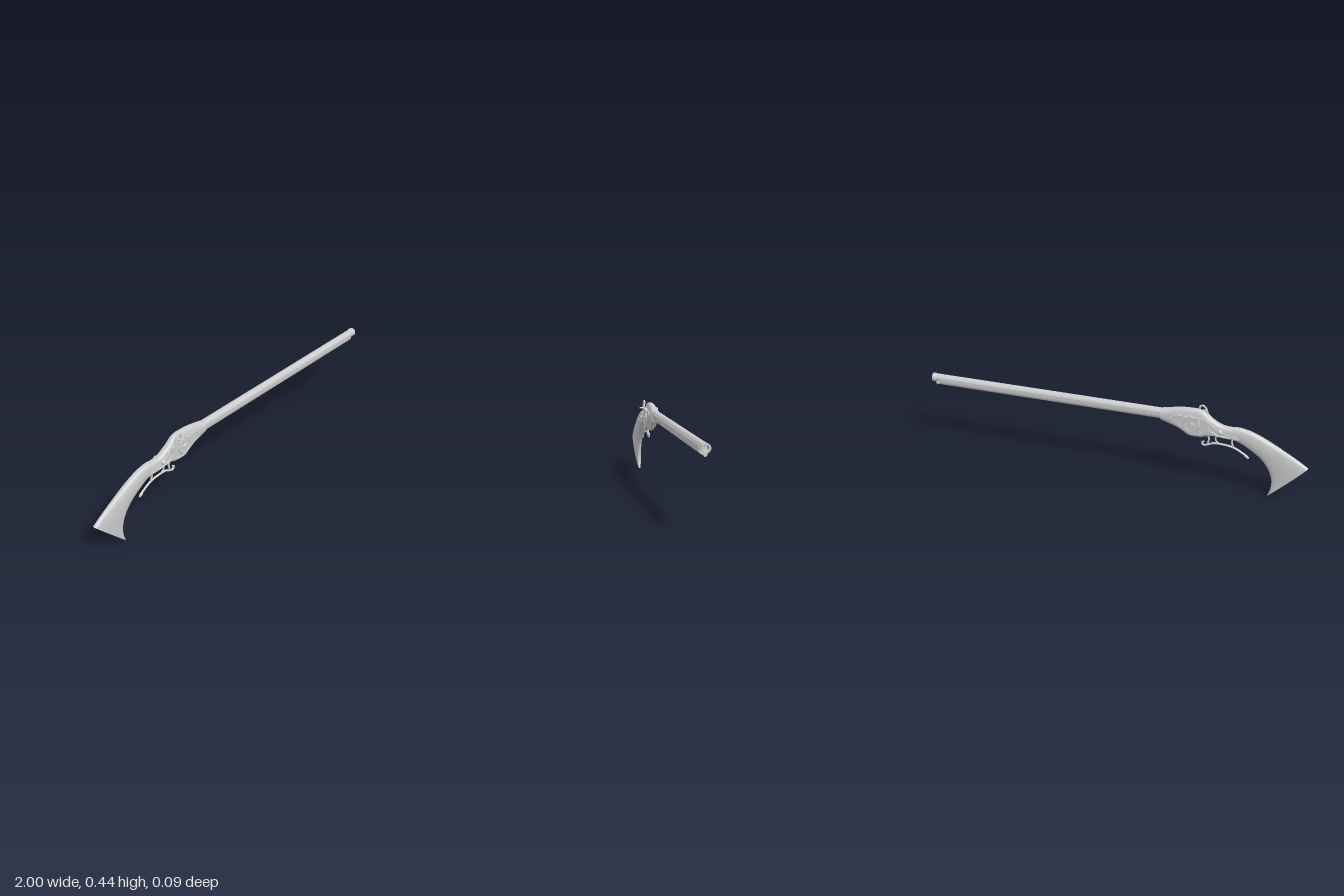
import * as THREE from 'three';

const Z = -0.005; // centre plane of the gun
const mat = new THREE.MeshStandardMaterial({ color: 0xcccccc, side: THREE.DoubleSide });

function add(parent, name, geo, x = 0, y = 0, z = 0) {
  const m = new THREE.Mesh(geo, mat);
  m.name = name;
  m.position.set(x, y, z);
  parent.add(m);
  return m;
}

// Rounded rod along a smooth path, with ball ends
function rod(parent, name, pts, r) {
  const v = pts.map(p => new THREE.Vector3(p[0], p[1], p[2] || 0));
  const g = new THREE.Group();
  g.name = name;
  add(g, name + 'Shaft', new THREE.TubeGeometry(new THREE.CatmullRomCurve3(v), pts.length * 6, r, 8));
  for (const p of [v[0], v[v.length - 1]]) add(g, name + 'End', new THREE.SphereGeometry(r, 8, 6), p.x, p.y, p.z);
  parent.add(g);
  return g;
}

// Cylinder lying along x or z
function disc(parent, name, axis, r0, r1, len, x, y, z, seg = 24) {
  const g = new THREE.CylinderGeometry(r1, r0, len, seg);
  if (axis === 'x') g.rotateZ(-Math.PI / 2);
  else g.rotateX(Math.PI / 2);
  return add(parent, name, g, x, y, z);
}

function plate(points, depth, bevel) {
  const s = new THREE.Shape(points.map(p => new THREE.Vector2(p[0], p[1])));
  return new THREE.ExtrudeGeometry(s, {
    depth, bevelEnabled: bevel > 0, bevelSize: bevel, bevelThickness: bevel, bevelSegments: 2
  });
}

// Stock sections: top x, top y, bottom x, bottom y, half width, taper to bottom
const sections = [
  [-1.0, 0.195, -0.81, 0.004, 0.0225, 0.45],
  [-0.95, 0.227, -0.824, 0.05, 0.0235, 0.4],
  [-0.9, 0.256, -0.824, 0.105, 0.0235, 0.3],
  [-0.84, 0.289, -0.802, 0.163, 0.0235, 0.2],
  [-0.78, 0.32, -0.762, 0.213, 0.0235, 0.1],
  [-0.71, 0.349, -0.7, 0.257, 0.0225, 0.05],
  [-0.65, 0.36, -0.65, 0.284, 0.022, 0],
  [-0.605, 0.357, -0.605, 0.294, 0.022, 0],
  [-0.56, 0.364, -0.56, 0.296, 0.023, 0],
  [-0.51, 0.392, -0.51, 0.296, 0.024, 0],
  [-0.46, 0.427, -0.46, 0.281, 0.025, 0],
  [-0.4, 0.431, -0.4, 0.281, 0.025, 0],
  [-0.35, 0.426, -0.35, 0.31, 0.025, 0],
  [-0.3, 0.416, -0.3, 0.33, 0.025, 0],
  [-0.253, 0.405, -0.253, 0.346, 0.025, 0]
];

function stockGeometry() {
  const curve = (a, b) => new THREE.SplineCurve(sections.map(s => new THREE.Vector2(s[a], s[b])));
  const top = curve(0, 1), bottom = curve(2, 3), width = curve(4, 5);
  const N = 84, R = 32, pos = [], idx = [];
  for (let i = 0; i <= N; i++) {
    const t = top.getPoint(i / N), b = bottom.getPoint(i / N), w = width.getPoint(i / N);
    for (let j = 0; j < R; j++) {
      const a = j / R * Math.PI * 2, s = Math.sin(a), d = (1 - Math.cos(a)) / 2;
      const z = Math.sign(s) * Math.pow(Math.abs(s), 0.65) * w.x * (1 - w.y * d);
      pos.push(t.x + (b.x - t.x) * d, t.y + (b.y - t.y) * d, z);
    }
  }
  for (let i = 0; i < N; i++) for (let j = 0; j < R; j++) {
    const a = i * R + j, b = i * R + (j + 1) % R;
    idx.push(a, b, a + R, b, b + R, a + R);
  }
  // Flat butt and front caps on their own vertices
  for (const row of [0, N]) {
    const base = pos.length / 3;
    for (let j = 0; j < R * 3; j++) pos.push(pos[row * R * 3 + j]);
    pos.length = (base + R) * 3;
    for (let j = 1; j < R - 1; j++) {
      if (row) idx.push(base, base + j, base + j + 1);
      else idx.push(base, base + j + 1, base + j);
    }
  }
  const g = new THREE.BufferGeometry();
  g.setAttribute('position', new THREE.Float32BufferAttribute(pos, 3));
  g.setIndex(idx);
  g.computeVertexNormals();
  return g;
}

// Lock parts for one side, built facing +z from the side surface
function lock(parent, name, dir) {
  const g = new THREE.Group();
  g.name = name;
  g.position.z = Z;
  g.scale.z = dir;
  add(g, 'lockPlate', plate([
    [-0.655, 0.305], [-0.645, 0.318], [-0.6, 0.322], [-0.54, 0.342], [-0.48, 0.388], [-0.4, 0.4], [-0.3, 0.392],
    [-0.27, 0.378], [-0.32, 0.348], [-0.37, 0.322], [-0.41, 0.297], [-0.455, 0.297], [-0.49, 0.311], [-0.6, 0.303]
  ], 0.003, 0.001), 0, 0, 0.022);
  // Wheel with stepped cover and square spindle
  disc(g, 'wheel', 'z', 0.043, 0.04, 0.007, -0.415, 0.353, 0.028, 32);
  add(g, 'wheelRim', new THREE.TorusGeometry(0.036, 0.0025, 8, 32), -0.415, 0.353, 0.031);
  disc(g, 'wheelHub', 'z', 0.014, 0.011, 0.005, -0.415, 0.353, 0.033);
  add(g, 'spindle', new THREE.BoxGeometry(0.009, 0.009, 0.007), -0.415, 0.353, 0.0355);
  add(g, 'wheelBridge', plate([
    [-0.457, 0.382], [-0.45, 0.396], [-0.38, 0.396], [-0.368, 0.385], [-0.378, 0.381], [-0.44, 0.381]
  ], 0.006, 0.001), 0, 0, 0.028);
  disc(g, 'panCover', 'z', 0.007, 0.006, 0.015, -0.405, 0.398, 0.03, 16);
  // Rear bolt, screws and springs
  const bolt = add(g, 'rearBolt', new THREE.SphereGeometry(0.014, 16, 10), -0.56, 0.333, 0.026);
  bolt.scale.z = 0.85;
  for (const [x, y] of [[-0.635, 0.311], [-0.46, 0.31], [-0.5, 0.33], [-0.31, 0.375]])
    disc(g, 'screw', 'z', 0.006, 0.004, 0.005, x, y, 0.028, 12);
  rod(g, 'cockSpring', [[-0.6, 0.31, 0.027], [-0.55, 0.313, 0.027], [-0.51, 0.335, 0.027], [-0.495, 0.36, 0.027]], 0.004);
  rod(g, 'frontSpring', [[-0.365, 0.392, 0.027], [-0.33, 0.39, 0.027], [-0.315, 0.376, 0.027]], 0.003);
  parent.add(g);
  return g;
}

export function createModel() {
  const model = new THREE.Group();
  model.name = 'musket';

  add(model, 'stock', stockGeometry(), 0, 0, Z);

  // Forestock: U-shaped section swept along the barrel
  const u = new THREE.Shape();
  u.moveTo(0.0235, 0.392);
  u.lineTo(0.0235, 0.378);
  u.bezierCurveTo(0.0235, 0.362, 0.015, 0.351, 0, 0.351);
  u.bezierCurveTo(-0.015, 0.351, -0.0235, 0.362, -0.0235, 0.378);
  u.lineTo(-0.0235, 0.392);
  const fore = new THREE.ExtrudeGeometry(u, { depth: 1.215, bevelEnabled: false, curveSegments: 10 });
  fore.rotateY(Math.PI / 2);
  add(model, 'forestock', fore, -0.255, 0, Z);

  // Hollow barrel with a flared muzzle ring
  const barrel = new THREE.LatheGeometry([
    [0.0205, -0.3], [0.0205, 0.982], [0.0205, 0.982], [0.0225, 0.985], [0.0225, 0.985], [0.0225, 1],
    [0.0225, 1], [0.0145, 1], [0.0145, 1], [0.0125, 0.995], [0.0125, 0.85], [0, 0.85]
  ].map(p => new THREE.Vector2(p[0], p[1])), 32);
  barrel.rotateZ(-Math.PI / 2);
  add(model, 'barrel', barrel, 0, 0.386, Z);

  // Ramrod below the muzzle
  disc(model, 'ramrod', 'x', 0.006, 0.006, 0.12, 0.91, 0.357, Z, 16);
  disc(model, 'ramrodTip', 'x', 0.007, 0.009, 0.02, 0.973, 0.356, Z, 16);

  lock(model, 'leftLock', 1);
  lock(model, 'rightLock', -1);

  // Cock on the front side with its jaw pin
  const cock = new THREE.Group();
  cock.name = 'cock';
  cock.position.z = 0.024;
  rod(cock, 'cockArm', [[-0.5, 0.355], [-0.5, 0.378], [-0.484, 0.395], [-0.475, 0.42], [-0.458, 0.437], [-0.443, 0.432], [-0.44, 0.42]], 0.005);
  rod(cock, 'cockJaw', [[-0.476, 0.412], [-0.46, 0.412], [-0.447, 0.402]], 0.005);
  disc(cock, 'jawPin', 'z', 0.005, 0.005, 0.028, -0.465, 0.398, 0.009, 12);
  model.add(cock);

  // Trigger guard with curled front, posts and trigger
  const guard = new THREE.Group();
  guard.name = 'triggerGuard';
  guard.position.z = Z;
  rod(guard, 'guardBow', [[-0.7, 0.203], [-0.67, 0.224], [-0.625, 0.246], [-0.57, 0.254], [-0.52, 0.252],
    [-0.495, 0.24], [-0.475, 0.236], [-0.465, 0.247], [-0.473, 0.254]], 0.0055);
  const tail = add(guard, 'guardTail', new THREE.SphereGeometry(0.008, 12, 8), -0.693, 0.207, 0);
  tail.scale.set(2.2, 0.9, 0.9);
  tail.rotation.z = 0.66;
  rod(guard, 'rearPost', [[-0.625, 0.297], [-0.616, 0.275], [-0.625, 0.248]], 0.005);
  rod(guard, 'frontPost', [[-0.49, 0.3], [-0.5, 0.275], [-0.493, 0.242]], 0.005);
  rod(guard, 'trigger', [[-0.54, 0.3], [-0.533, 0.28], [-0.54, 0.264], [-0.548, 0.26]], 0.004);
  model.add(guard);

  return model;
}
